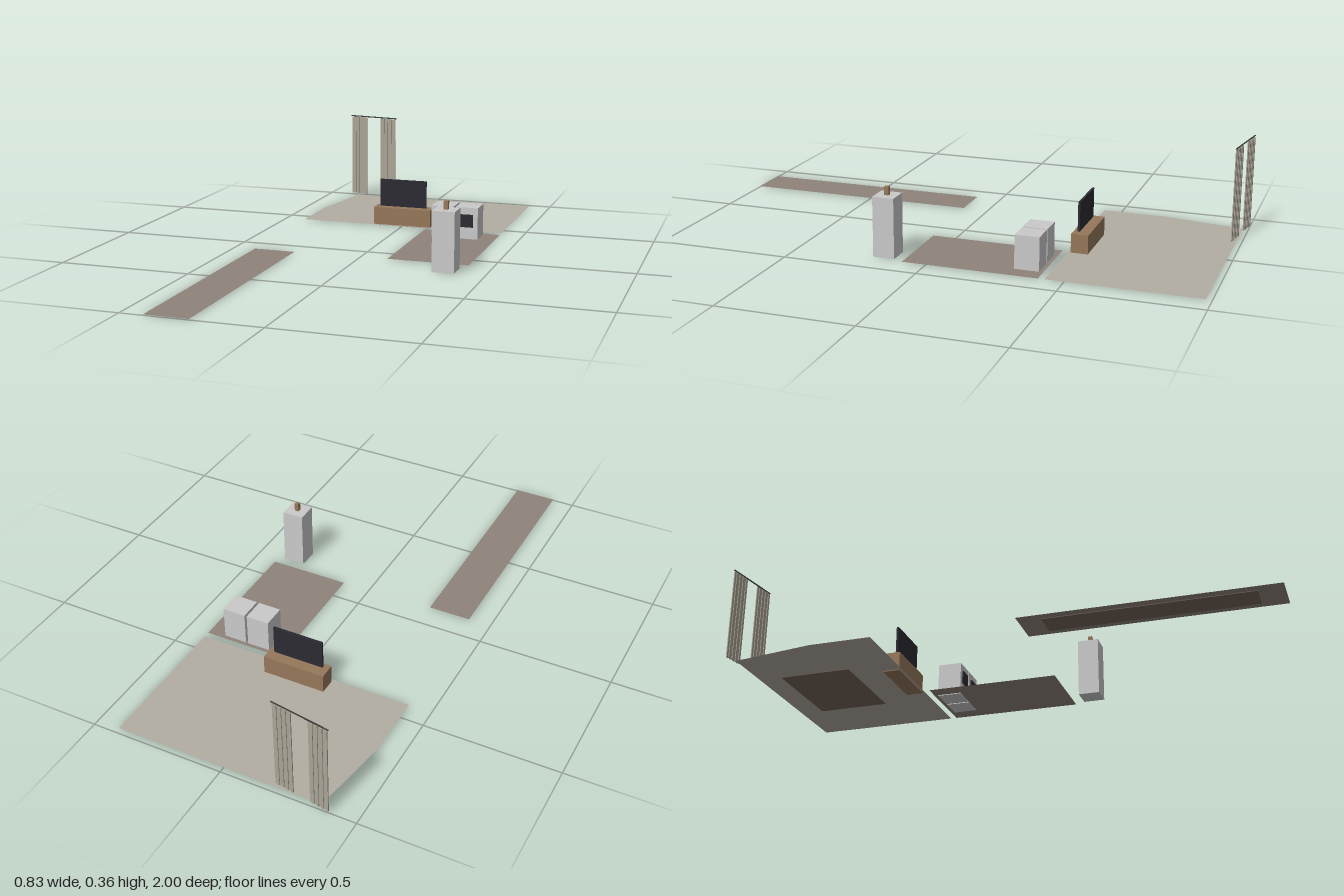
import * as THREE from 'three';

const mat = (name, color) => new THREE.MeshStandardMaterial({ name, color });

export function createModel() {
  const root = new THREE.Group();
  root.name = 'apartmentLayout';

  const paleFloor = mat('paleFloor', 0xb3ada3);
  const brownFloor = mat('brownFloor', 0x8f847b);
  paleFloor.side = brownFloor.side = THREE.DoubleSide;
  const rugBrown = mat('rugBrown', 0x75645a);
  const wood = mat('wood', 0x96785a);
  const screenBlack = mat('screenBlack', 0x2c2b33);
  const applianceGrey = mat('applianceGrey', 0xcacaca);
  const linen = mat('linen', 0xaaa496);
  const rodGrey = mat('rodGrey', 0x3c3e40);

  // Box given by its minimum and maximum on each axis
  function box(name, material, x0, x1, y0, y1, z0, z1, parent = root) {
    const mesh = new THREE.Mesh(new THREE.BoxGeometry(x1 - x0, y1 - y0, z1 - z0), material);
    mesh.position.set((x0 + x1) / 2, (y0 + y1) / 2, (z0 + z1) / 2);
    mesh.name = name;
    parent.add(mesh);
    return mesh;
  }

  // Flat floor sheet from a plan outline of [x, z] corners
  function floor(name, material, corners) {
    const shape = new THREE.Shape(corners.map(([x, z]) => new THREE.Vector2(x, -z)));
    const mesh = new THREE.Mesh(new THREE.ShapeGeometry(shape).rotateX(-Math.PI / 2), material);
    mesh.position.y = 0.003;
    mesh.name = name;
    root.add(mesh);
  }

  // Floors
  floor('livingFloor', paleFloor, [
    [-0.415, -0.433], [0.413, -0.433], [0.413, -0.98], [-0.365, -0.98], [-0.415, -0.665],
  ]);
  floor('kitchenFloor', brownFloor, [[0.106, 0.087], [0.413, 0.087], [0.413, -0.41], [0.106, -0.41]]);
  floor('hallFloor', brownFloor, [[-0.415, 1], [-0.255, 1], [-0.255, 0.097], [-0.415, 0.097]]);

  // Rugs just beneath the floor sheets
  box('livingRug', rugBrown, -0.18, 0.18, 0, 0.002, -0.89, -0.62);
  box('hallRug', rugBrown, -0.385, -0.285, 0, 0.002, 0.18, 0.912);

  // Television on a low wooden cabinet
  box('mediaCabinet', wood, -0.119, 0.118, 0, 0.073, -0.506, -0.443);
  box('television', screenBlack, -0.097, 0.096, 0.077, 0.187, -0.469, -0.461);

  // Pair of appliances with dark front windows
  for (const x of [0.207, 0.304]) {
    box('appliance', applianceGrey, x - 0.044, x + 0.044, 0, 0.127, -0.395, -0.305);
    box('applianceWindow', screenBlack, x - 0.026, x + 0.026, 0.05, 0.1, -0.305, -0.3);
  }

  // Tall pedestal with a wooden peg on top
  box('pedestal', applianceGrey, 0.307, 0.389, 0, 0.222, 0.126, 0.206);
  box('pedestalPeg', wood, 0.34, 0.356, 0.222, 0.253, 0.158, 0.174);

  // Curtains hung at a slight angle
  const curtains = new THREE.Group();
  curtains.name = 'curtains';
  curtains.position.set(-0.295, 0, -0.982);
  curtains.rotation.y = -0.155;
  root.add(curtains);

  const rod = new THREE.Mesh(new THREE.CylinderGeometry(0.0025, 0.0025, 0.222, 12), rodGrey);
  rod.rotation.z = Math.PI / 2;
  rod.position.y = 0.357;
  rod.name = 'curtainRod';
  curtains.add(rod);

  // Each panel is a row of alternating pleats
  const pleats = 8, pleatWidth = 0.0093;
  for (const side of [-1, 1]) {
    for (let i = 0; i < pleats; i++) {
      const x = side * 0.07 + (i - pleats / 2) * pleatWidth;
      const z = i % 2 ? 0.0015 : -0.0015;
      box('curtainPleat', linen, x, x + pleatWidth, 0.007, 0.353, z - 0.002, z + 0.002, curtains);
    }
  }

  return root;
}
